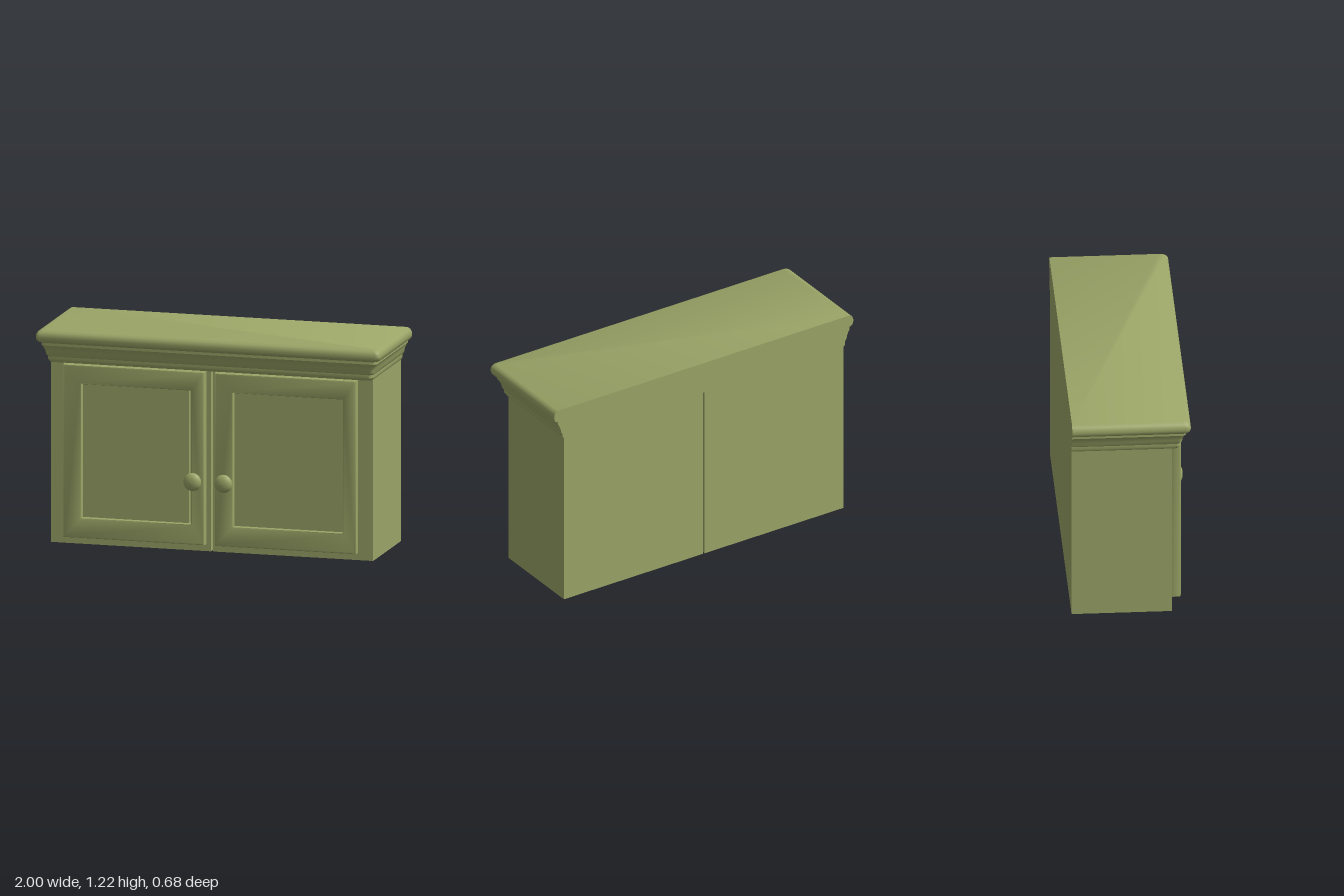
import * as THREE from 'three';
import { toCreasedNormals } from 'three/addons/utils/BufferGeometryUtils.js';

const BACK = -0.335;

// Moulding swept around the front and sides: each level is [y, inset from the widest point]
function corniceGeometry() {
  const levels = [
    [1.035, 0.064], [1.05, 0.055], [1.068, 0.055], [1.08, 0.046], [1.1, 0.043], [1.125, 0.032],
    [1.135, 0.025], [1.15, 0.025], [1.155, 0.012], [1.165, 0.004], [1.18, 0],
    [1.2, 0.002], [1.213, 0.01], [1.223, 0.026],
  ];
  const r = 0.028, steps = 4;
  const pos = [], index = [];
  let n = 0;
  for (const [y, inset] of levels) {
    const x = 1 - inset, z = 0.33 - inset, ring = [[-x, BACK]];
    for (const side of [-1, 1]) {
      for (let i = 0; i <= steps; i++) {
        const a = (side < 0 ? i : steps - i) / steps * Math.PI / 2;
        ring.push([side * (x - r + r * Math.cos(a)), z - r + r * Math.sin(a)]);
      }
    }
    ring.push([x, BACK]);
    n = ring.length;
    ring.forEach(([px, pz]) => pos.push(px, y, pz));
  }
  for (let l = 0; l < levels.length - 1; l++) {
    for (let i = 0; i < n; i++) {
      const a = l * n + i, b = l * n + (i + 1) % n;
      index.push(a, b, b + n, a, b + n, a + n);
    }
  }
  // Bottom and top caps
  const top = (levels.length - 1) * n;
  for (let i = 1; i < n - 1; i++) {
    index.push(0, i + 1, i, top, top + i, top + i + 1);
  }
  const g = new THREE.BufferGeometry();
  g.setAttribute('position', new THREE.Float32BufferAttribute(pos, 3));
  g.setIndex(index);
  return toCreasedNormals(g, 0.6);
}

// Door frame with a chamfered edge and a rectangular opening
function doorFrameGeometry() {
  const rect = (p, x0, y0, x1, y1) =>
    p.moveTo(x0, y0).lineTo(x1, y0).lineTo(x1, y1).lineTo(x0, y1).closePath();
  const shape = rect(new THREE.Shape(), 0.03, 0.043, 0.85, 1.03);
  shape.holes.push(rect(new THREE.Path(), 0.138, 0.16, 0.772, 0.92));
  const b = 0.01;
  const g = new THREE.ExtrudeGeometry(shape, {
    depth: 0.057 - 2 * b, bevelThickness: b, bevelSize: b, bevelOffset: -b, bevelSegments: 2,
  });
  g.translate(0, 0, 0.225 + b);
  return toCreasedNormals(g, 0.6);
}

// Round pull on a short stem, turned to point forward
function knobGeometry() {
  const profile = [
    [0.025, -0.005], [0.022, 0.006], [0.03, 0.01], [0.045, 0.017], [0.052, 0.03],
    [0.048, 0.043], [0.035, 0.054], [0.018, 0.059], [0, 0.06],
  ].map(([x, y]) => new THREE.Vector2(x, y));
  return new THREE.LatheGeometry(profile, 24).rotateX(Math.PI / 2);
}

export function createModel() {
  const paint = new THREE.MeshStandardMaterial({ color: 0x9ba567 });
  paint.name = 'olive paint';
  const model = new THREE.Group();
  model.name = 'wallCabinet';

  const add = (parent, name, geometry, x = 0, y = 0, z = 0) => {
    const mesh = new THREE.Mesh(geometry, paint);
    mesh.name = name;
    mesh.position.set(x, y, z);
    parent.add(mesh);
  };

  add(model, 'cornice', corniceGeometry());

  const frame = doorFrameGeometry();
  const knob = knobGeometry();
  for (const [side, s] of [['left', 1], ['right', -1]]) {
    // Carcass half, leaving a fine seam down the middle
    add(model, side + 'Carcass', new THREE.BoxGeometry(0.929, 1.04, 0.56), s * 0.4705, 0.52, -0.055);

    const door = new THREE.Group();
    door.name = side + 'Door';
    // The frame is symmetric about its own centre, so it is shifted rather than flipped
    add(door, side + 'DoorFrame', frame, s > 0 ? 0 : -0.88 - 0.03);
    door.children[0].position.x = s > 0 ? 0 : -0.88;
    add(door, side + 'DoorPanel', new THREE.BoxGeometry(0.66, 0.79, 0.03), s * 0.455, 0.54, 0.24);
    add(door, side + 'Knob', knob, s * 0.09, 0.408, 0.281);
    model.add(door);
  }
  return model;
}
